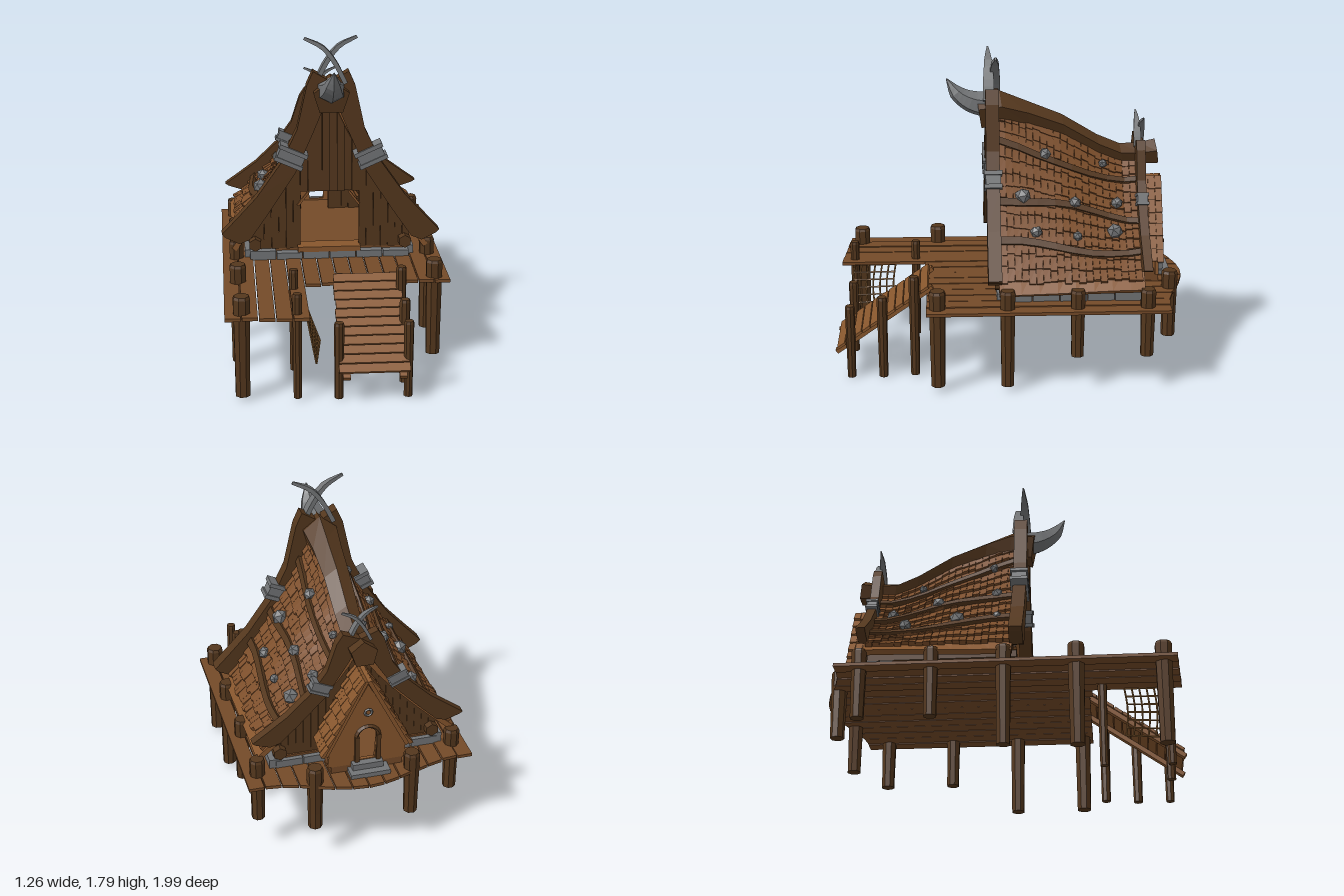
import * as THREE from 'three';
import { mergeGeometries } from 'three/addons/utils/BufferGeometryUtils.js';

const mat = (color) => new THREE.MeshStandardMaterial({ color, flatShading: true, roughness: 0.9 });
const DARK = mat(0x54371d), DECK = mat(0x744a28), SHINGLE = mat(0x7c4e2a), LIGHT = mat(0x87562d);
const STONE = mat(0x727476), ROPE = mat(0x9a6c3a);
const C = -0.013; // house centre line in x
let seed = 7;
const rnd = (a, b) => { seed = (seed * 16807) % 2147483647; return a + (b - a) * seed / 2147483647; };

export function createModel() {
  const root = new THREE.Group();
  const add = (name, geos, material, parent = root) => {
    const list = [].concat(geos).map((g) => (g.index ? g.toNonIndexed() : g));
    list.forEach((g) => { g.deleteAttribute('uv'); g.computeVertexNormals(); });
    const m = new THREE.Mesh(mergeGeometries(list), material);
    m.name = name;
    parent.add(m);
    return m;
  };
  const box = (x0, x1, y0, y1, z0, z1) =>
    new THREE.BoxGeometry(x1 - x0, y1 - y0, z1 - z0).translate((x0 + x1) / 2, (y0 + y1) / 2, (z0 + z1) / 2);

  // Closed solid through convex cross-sections, turned outward by its signed volume
  const loft = (rings) => {
    const tris = [], n = rings[0].length, last = rings[rings.length - 1];
    for (let i = 0; i + 1 < rings.length; i++) for (let j = 0; j < n; j++) {
      const k = (j + 1) % n, a = rings[i], b = rings[i + 1];
      tris.push([a[j], a[k], b[k]], [a[j], b[k], b[j]]);
    }
    for (let j = 1; j + 1 < n; j++) tris.push([rings[0][0], rings[0][j + 1], rings[0][j]], [last[0], last[j], last[j + 1]]);
    const V = (p) => new THREE.Vector3(...p), o = V(rings[0][0]);
    let vol = 0;
    tris.forEach(([a, b, c]) => { vol += V(a).sub(o).dot(V(b).sub(o).cross(V(c).sub(o))); });
    const pos = tris.flatMap((t) => (vol < 0 ? [t[0], t[2], t[1]] : t)).flat();
    return new THREE.BufferGeometry().setAttribute('position', new THREE.Float32BufferAttribute(pos, 3));
  };
  // Tapered horn along a path; each radius pair is [across, along binormal]
  const horn = (pts, radii, sides = 6) => {
    const curve = new THREE.CatmullRomCurve3(pts.map((p) => new THREE.Vector3(...p)));
    const N = 9, f = curve.computeFrenetFrames(N, false), rings = [];
    for (let i = 0; i <= N; i++) {
      const u = i / N * (radii.length - 1), k = Math.min(Math.floor(u), radii.length - 2);
      const p = curve.getPointAt(i / N);
      rings.push(Array.from({ length: sides }, (_, j) => {
        const a = (j + 0.5) / sides * Math.PI * 2;
        const r = [0, 1].map((d) => THREE.MathUtils.lerp(radii[k][d], radii[k + 1][d], u - k));
        return p.clone().addScaledVector(f.normals[i], Math.cos(a) * r[0])
          .addScaledVector(f.binormals[i], Math.sin(a) * r[1]).toArray();
      }));
    }
    return loft(rings);
  };

  // Deck planks, bowed at the back and longer on one side at the front
  const backZ = (x) => -0.87 - (Math.abs(x) < 0.55 ? 0.065 * (1 + Math.cos(Math.PI * x / 0.55)) : 0);
  const planks = [];
  for (let i = 0; i < 14; i++) {
    const x0 = -0.63 + i * 0.09, x1 = x0 + 0.083, y = 0.468 + rnd(0, 0.006);
    const f = i < 5 ? [0.94 + i * 0.007, 0.945 + i * 0.007] : i === 5 ? [0.485, 0.485] : [0.47, 0.47];
    planks.push(loft([y, y + 0.018].map((h) => [[x0, h, backZ(x0)], [x1, h, backZ(x1)], [x1, h, f[1]], [x0, h, f[0]]])));
  }
  add('deckPlanks', planks, DECK);

  // Posts: x, z, bottom, top, radius
  const posts = [[-0.55, 0.41, 0.02, 0.59, 0.048], [-0.54, 0.87, 0.02, 0.585, 0.048], [0.54, 0.41, 0.03, 0.59, 0.048],
    [-0.25, 0.54, 0.01, 0.6, 0.027], [-0.25, 0.9, 0.01, 0.6, 0.027], [0.34, 0.54, 0.01, 0.6, 0.03],
    [0.34, 0.72, 0, 0.48, 0.03], [0.34, 0.9, 0, 0.43, 0.028], [-0.03, 0.9, 0, 0.43, 0.028]];
  for (const s of [-1, 1]) posts.push([s * 0.27, -0.9, 0.2, 0.59, 0.046], [s * 0.55, -0.745, 0.2, 0.59, 0.044],
    [s * 0.55, -0.36, 0.2, 0.59, 0.042], [s * 0.55, 0.025, 0.03, 0.59, 0.044]);
  add('posts', posts.map(([x, z, b, t, r]) => new THREE.LatheGeometry(
    [[0, b], [r * 0.85, b], [r * 0.87, b + 0.1], [r, t - 0.015], [r * 0.85, t], [0, t]].map((p) => new THREE.Vector2(...p)), 8)
    .rotateY(x * 5).translate(x, 0, z)), DARK);

  // Boarding ramp
  const ramp = new THREE.Group();
  ramp.name = 'ramp';
  ramp.position.set(0.155, 0.345, 0.715);
  ramp.rotation.x = 0.61;
  root.add(ramp);
  const treads = [];
  for (let i = 0; i < 11; i++) {
    const z = -0.315 + i * 0.0575, w = rnd(0.18, 0.19);
    treads.push(box(-w, w, 0, 0.015, z, z + 0.051));
  }
  add('rampTreads', treads, LIGHT, ramp);
  add('rampStringers', [-1, 1].map((s) => box(s * 0.15 - 0.02, s * 0.15 + 0.02, -0.025, 0, -0.33, 0.335)), LIGHT, ramp);

  // Hanging rope net
  const netPoint = (u, v) => new THREE.Vector3(-0.2 + 0.05 * v + 0.035 * v * u, 0.47 - (0.27 - 0.03 * u) * v, 0.9 - 0.24 * u + 0.015 * Math.sin(v * 3));
  const ropes = [];
  for (let i = 0; i <= 6; i++) for (const flip of [0, 1]) {
    const pts = [0, 0.33, 0.66, 1].map((k) => (flip ? netPoint(k, i / 6) : netPoint(i / 6, k)));
    ropes.push(new THREE.TubeGeometry(new THREE.CatmullRomCurve3(pts), 6, 0.005, 4));
  }
  add('ropeNet', ropes, ROPE);

  // Ridge height along z, and roof profiles: t runs from eave to ridge
  const ridgePts = [[0.18, 1.56], [0.05, 1.57], [-0.1, 1.51], [-0.3, 1.43], [-0.5, 1.31], [-0.63, 1.255], [-0.74, 1.26], [-0.83, 1.28]];
  const ridge = (z) => {
    let i = 0;
    while (i < ridgePts.length - 2 && z < ridgePts[i + 1][0]) i++;
    const [a, b] = [ridgePts[i], ridgePts[i + 1]];
    return THREE.MathUtils.lerp(a[1], b[1], (z - a[0]) / (b[0] - a[0]));
  };
  const mainRoof = (s, t, z) => [C + s * (0.03 + 0.49 * Math.max(1 - t, 0) ** 1.25), 0.62 + (ridge(z) - 0.7) * t, z];
  const porchRoof = (s, t, z) => [C - 0.015 + s * (0.015 + 0.22 * (1 - t)), 0.62 + 0.44 * t, z];
  const lift = (P, s, t, z, d) => {
    const p = P(s, t, z), a = P(s, t - 0.02, z), b = P(s, Math.min(t + 0.02, 1), z);
    const dx = b[0] - a[0], dy = b[1] - a[1], l = Math.hypot(dx, dy);
    return [p[0] + s * dy / l * d, p[1] - s * dx / l * d, z];
  };
  // Piece lying on a roof: offsets are [under, over at low edge, over at high edge]
  const patch = (P, s, t0, t1, zs, [u, lo, hi]) => loft(zs.map((z) =>
    [lift(P, s, t0, z, u), lift(P, s, t0, z, lo), lift(P, s, t1, z, hi), lift(P, s, t1, z, u)]));
  const roofZ = [0.07, -0.05, -0.15, -0.25, -0.35, -0.45, -0.55, -0.65, -0.73];
  const slab = [], battens = [], shingles = [], porchSlab = [], porchShingles = [];
  const cover = (out, P, s, rows, cols, z0, z1) => {
    const step = (z1 - z0) / cols;
    for (let r = 0; r < rows; r++) for (let c = 0; c < cols; c++) {
      const z = z0 + step * c, t = r / rows;
      out.push(patch(P, s, t + rnd(-0.018, 0.008), Math.min(t + 1.1 / rows, 1), [z, z + step * 0.96], [0, rnd(0.018, 0.026), 0.006]));
    }
  };
  for (const s of [-1, 1]) {
    for (let k = 0; k < 7; k++) slab.push(patch(mainRoof, s, k ? k / 7 : -0.07, (k + 1) / 7, roofZ, [-0.03, 0, 0]));
    cover(shingles, mainRoof, s, 13, 20, 0.06, -0.72);
    for (const t of [0.2, 0.46, 0.77]) battens.push(loft(roofZ.map((z) => {
      const w = t + 0.025 * Math.sin(z * 7 + t * 9);
      return [[w - 0.02, 0], [w - 0.02, 0.035], [w + 0.022, 0.035], [w + 0.022, 0]].map(([tt, d]) => lift(mainRoof, s, tt, z, d));
    })));
    porchSlab.push(patch(porchRoof, s, 0, 1, [-0.6, -0.865], [-0.02, 0, 0]));
    cover(porchShingles, porchRoof, s, 7, 6, -0.64, -0.875);
  }
  add('roofSlab', slab, LIGHT);
  add('roofShingles', shingles, SHINGLE);
  add('roofBattens', battens, DARK);
  add('porchRoofSlab', porchSlab, LIGHT);
  add('porchShingles', porchShingles, LIGHT);

  // Faceted stone studs on the roof: x, z, radius
  const studs = [[-0.25, -0.62, 0.035], [-0.38, -0.53, 0.037], [-0.11, -0.47, 0.025], [-0.26, -0.36, 0.04], [-0.4, -0.24, 0.045],
    [-0.14, -0.06, 0.028], [-0.28, -0.03, 0.035], [-0.41, -0.02, 0.028], [0.2, -0.6, 0.035], [0.32, -0.58, 0.046], [0.07, -0.53, 0.026],
    [0.24, -0.36, 0.037], [0.36, -0.37, 0.028], [0.11, -0.2, 0.036], [0.36, -0.14, 0.035], [0.25, -0.07, 0.046]];
  const tAt = (x) => 1 - (Math.max(Math.abs(x - C) - 0.03, 0) / 0.49) ** 0.8;
  add('roofStuds', studs.map(([x, z, r]) => new THREE.IcosahedronGeometry(r, 0).rotateZ(x * 9).rotateY(z * 9)
    .translate(...lift(mainRoof, Math.sign(x), tAt(x - Math.sign(x) * 0.02), z, 0.025))), STONE);

  // Ridge beam with five-sided section
  add('ridgeBeam', loft(ridgePts.map(([z, y], i) => {
    const w = [0.1, 0.095, 0.08, 0.072, 0.068, 0.066, 0.068, 0.072][i], h = [0.19, 0.18, 0.13, 0.11, 0.1, 0.1, 0.11, 0.13][i];
    return [[0, 0], [w, -h * 0.4], [w * 0.65, -h], [-w * 0.65, -h], [-w, -h * 0.4]].map(([x, d]) => [C + x, y + d, z + d * 0.15]);
  })), DARK);

  // Curved gable beams, their stone clasps and crossed horns (front, then smaller at the back)
  const outer = [[0.1, 1.6], [0.135, 1.52], [0.19, 1.27], [0.28, 1.08], [0.42, 0.88], [0.53, 0.76], [0.62, 0.665]];
  const inner = [[0.6, 0.645], [0.52, 0.605], [0.46, 0.63], [0.35, 0.79], [0.2, 1.02], [0.1, 1.25], [0.03, 1.42], [0, 1.48], [0, 1.54]];
  const gable = (name, z, sx, depth, Y, k) => {
    const g = new THREE.Group();
    g.name = name;
    root.add(g);
    for (const s of [-1, 1]) {
      const shape = new THREE.Shape([...outer, ...inner].map(([x, y]) => new THREE.Vector2(C + s * x * sx, Y(y))));
      add('gableBeam', new THREE.ExtrudeGeometry(shape, { depth, bevelEnabled: false }).translate(0, 0, z - depth / 2), DARK, g);
      const clasp = add('beamClasp', [box(-0.075, 0.075, -0.03, 0.03, -0.042, 0.042),
        ...[-0.037, 0.037].map((y) => box(-0.085, 0.085, y - 0.012, y + 0.012, -0.05, 0.05))], STONE, g);
      clasp.position.set(C + s * 0.225 * sx, Y(1.11), z);
      clasp.rotation.z = s * 0.42;
      clasp.scale.setScalar(k);
      const path = [[0.08, 1.53], [0.025, 1.64], [-0.045, 1.73], [-0.148, 1.782]];
      add('crossedHorn', horn(path.map(([x, y]) => [C + s * x * k, Y(1.6) + (y - 1.6) * k, z + s * 0.018 * k]),
        [[0.045, 0.018], [0.042, 0.018], [0.03, 0.017], [0.006, 0.012]].map((r) => r.map((v) => v * k)), 4), STONE, g);
    }
  };
  gable('frontGable', 0.093, 1, 0.075, (y) => y, 1);
  gable('backGable', -0.74, 0.95, 0.05, (y) => 0.66 + (y - 0.6) * 0.64, 0.68);
  add('prowHorn', horn([[C, 1.49, 0.12], [C, 1.505, 0.2], [C, 1.55, 0.28], [C, 1.64, 0.345]],
    [[0.085, 0.075], [0.07, 0.062], [0.045, 0.042], [0.003, 0.003]], 6), STONE);

  // Upright plank walls, cut to the roof, with a doorway
  const wall = (name, z, door0, door1, doorTop) => {
    const out = [], n = 22, w = 0.92 / n;
    for (let i = 0; i < n; i++) {
      const x0 = C - 0.46 + i * w, x1 = x0 + w * 0.97, mid = (x0 + x1) / 2, d = rnd(0, 0.012);
      const low = mid > door0 && mid < door1 ? doorTop : 0.54;
      const top = (x) => Math.max(0.62 + (ridge(z) - 0.7) * tAt(x) - 0.035, low + 0.005);
      out.push(loft([z - 0.02, z + d].map((q) => [[x0, low, q], [x1, low, q], [x1, top(x1), q], [x0, top(x0), q]])));
    }
    add(name, out, DARK);
  };
  wall('frontWall', 0.03, -0.2, 0.16, 0.88);
  wall('backWall', -0.67, -0.12, 0.03, 0.88);
  add('doorBraces', [-1, 1].map((s) => new THREE.BoxGeometry(0.012, 0.1, 0.02).rotateZ(-s * -0.65).translate(-0.02 + s * 0.145, 0.84, 0.04)), LIGHT);

  // Back porch wall with arched doorway and trim
  const px = C - 0.02;
  const porch = new THREE.Shape([[-0.22, 0.53], [0.22, 0.53], [0.21, 0.63], [0, 1.03], [-0.21, 0.63]].map(([x, y]) => new THREE.Vector2(px + x, y)));
  const arch = new THREE.Path();
  arch.moveTo(px - 0.042, 0.555).lineTo(px - 0.052, 0.7).absarc(px, 0.705, 0.052, Math.PI, 0, true).lineTo(px + 0.042, 0.555).closePath();
  porch.holes.push(arch);
  add('porchWall', new THREE.ExtrudeGeometry(porch, { depth: 0.02, bevelEnabled: false, curveSegments: 8 }).translate(0, 0, -0.85), LIGHT);
  add('porchDoorFrame', [new THREE.TorusGeometry(0.062, 0.012, 4, 10, Math.PI).translate(px, 0.705, -0.855),
    ...[-1, 1].map((s) => box(px + s * 0.06 - 0.012, px + s * 0.06 + 0.012, 0.54, 0.71, -0.867, -0.845))], DARK);
  add('porchRing', new THREE.TorusGeometry(0.02, 0.007, 4, 8).translate(px, 0.86, -0.86), STONE);

  // Floor, stone footing, steps and eave logs
  add('floor', box(C - 0.45, C + 0.45, 0.487, 0.545, -0.7, 0.03), DECK);
  const footing = [box(C - 0.11 - 0.02, C + 0.09, 0.485, 0.515, -0.93, -0.85), box(C - 0.1, C + 0.07, 0.515, 0.55, -0.89, -0.84)];
  for (const s of [-1, 1]) for (let i = 0; i < 5; i++) {
    const z = -0.72 + i * 0.152, x = C + s * 0.455, w = rnd(0.025, 0.035);
    footing.push(box(x - w, x + w, 0.485, rnd(0.535, 0.55), z, z + 0.147));
  }
  for (let i = 0; i < 6; i++) for (const z of [-0.69, 0.045])
    footing.push(box(C - 0.46 + i * 0.153, C - 0.313 + i * 0.153, 0.485, rnd(0.525, 0.545), z - 0.035, z + 0.035));
  add('stoneFooting', footing, STONE);
  add('threshold', box(-0.2, 0.16, 0.53, 0.56, -0.02, 0.085), LIGHT);
  add('porchFloor', box(px - 0.2, px + 0.2, 0.487, 0.545, -0.85, -0.7), DECK);
  add('eaveLogs', [-1, 1].map((s) => new THREE.CylinderGeometry(0.038, 0.038, 0.82, 6).rotateX(Math.PI / 2).translate(C + s * 0.43, 0.58, -0.32)), DARK);
  return root;
}
